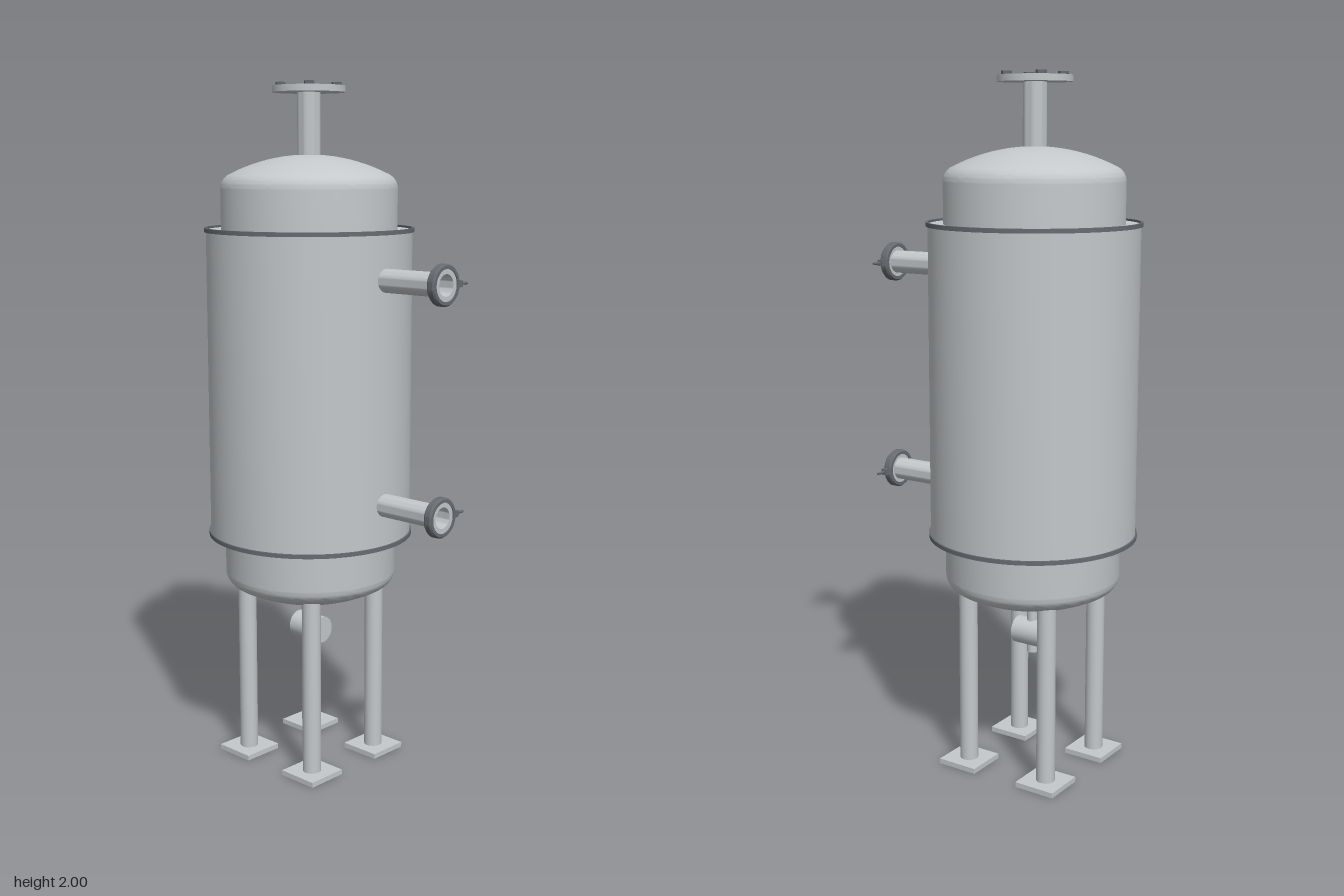
import * as THREE from 'three';
import { toCreasedNormals } from 'three/addons/utils/BufferGeometryUtils.js';

const steel = new THREE.MeshStandardMaterial({ color: 0xc4c8cb });
steel.name = 'brushed steel';
const dark = new THREE.MeshStandardMaterial({ color: 0x686c71 });
dark.name = 'dark steel';

function add(parent, name, geometry, material, x = 0, y = 0, z = 0) {
  const mesh = new THREE.Mesh(geometry, material);
  mesh.name = name;
  mesh.position.set(x, y, z);
  parent.add(mesh);
  return mesh;
}

// Revolved profile of [radius, height] pairs, listed with the outside running upwards
function lathe(points, segments = 48) {
  const profile = points.map(([r, y]) => new THREE.Vector2(r, y));
  return toCreasedNormals(new THREE.LatheGeometry(profile, segments), 0.6);
}

// Closed ring of rectangular section
function ring(inner, outer, y0, y1, segments = 48) {
  return lathe([[inner, y0], [outer, y0], [outer, y1], [inner, y1], [inner, y0]], segments);
}

// Dished head: a tight knuckle followed by a shallow crown, ending on the axis
function dishedHead(radius, knuckle, crown) {
  const c = radius - knuckle;
  const angle = Math.asin(c / (crown - knuckle));
  const drop = (crown - knuckle) * Math.cos(angle);
  const points = [];
  for (let i = 0; i <= 8; i++) {
    const t = (Math.PI / 2 - angle) * i / 8;
    points.push([c + knuckle * Math.cos(t), knuckle * Math.sin(t)]);
  }
  for (let i = 1; i <= 10; i++) {
    const t = angle * (1 - i / 10);
    points.push([crown * Math.sin(t), crown * Math.cos(t) - drop]);
  }
  return points;
}

// Side nozzle, built along y and turned to point along +x
function makeNozzle(name, y) {
  const nozzle = new THREE.Group();
  nozzle.name = name;
  nozzle.position.y = y;
  nozzle.rotation.z = -Math.PI / 2;
  add(nozzle, 'nozzlePipe', ring(0.030, 0.033, 0.28, 0.49), steel);
  add(nozzle, 'ferrule', ring(0.030, 0.046, 0.486, 0.506), steel);
  add(nozzle, 'clampBand', lathe([
    [0.044, 0.483], [0.053, 0.483], [0.057, 0.488], [0.057, 0.504],
    [0.053, 0.509], [0.044, 0.509], [0.044, 0.483],
  ]), dark);
  add(nozzle, 'clampLug', new THREE.BoxGeometry(0.018, 0.018, 0.022), dark, 0, 0.496, -0.061);
  const screw = add(nozzle, 'clampScrew', new THREE.CylinderGeometry(0.004, 0.004, 0.045, 12), dark, 0, 0.496, -0.078);
  screw.rotation.x = Math.PI / 2;
  return nozzle;
}

export function createModel() {
  const model = new THREE.Group();
  model.name = 'jacketedVessel';
  const vessel = new THREE.Group();
  vessel.name = 'vessel';
  vessel.position.x = -0.105;
  model.add(vessel);

  // Inner tank with a dished head at each end
  const head = dishedHead(0.253, 0.045, 0.5);
  const top = head.map(([r, y]) => [r, 1.705 + y]);
  const bottom = head.map(([r, y]) => [r, 0.583 - y]).reverse();
  add(vessel, 'tank', lathe([...bottom, ...top], 80), steel);

  // Jacket with a dark rim around both ends
  add(vessel, 'jacket', ring(0.25, 0.296, 0.702, 1.59, 80), steel);
  for (const [name, y] of [['lowerRim', 0.695], ['upperRim', 1.584]]) {
    add(vessel, name, ring(0.294, 0.301, y, y + 0.012, 80), dark);
  }

  // Top inlet pipe, flange and hex bolts
  add(vessel, 'inletPipe', ring(0.030, 0.033, 1.78, 1.985), steel);
  add(vessel, 'inletFlange', ring(0.031, 0.104, 1.972, 1.99), steel);
  for (const sx of [-1, 1]) for (const sz of [-1, 1]) {
    const bolt = new THREE.CylinderGeometry(0.015, 0.015, 0.012, 6).toNonIndexed();
    bolt.computeVertexNormals();
    add(vessel, 'flangeBolt', bolt, dark, sx * 0.056, 1.994, sz * 0.056);
  }

  // Legs on square foot plates
  for (const sx of [-1, 1]) for (const sz of [-1, 1]) {
    add(vessel, 'leg', new THREE.CylinderGeometry(0.027, 0.027, 0.55, 24), steel, sx * 0.135, 0.285, sz * 0.135);
    add(vessel, 'footPlate', new THREE.BoxGeometry(0.125, 0.015, 0.125), steel, sx * 0.135, 0.0075, sz * 0.135);
  }

  // Drain pipe and valve body
  add(vessel, 'drainPipe', new THREE.CylinderGeometry(0.016, 0.016, 0.165, 24), steel, 0, 0.4175, 0);
  const valve = add(vessel, 'drainValve', new THREE.CylinderGeometry(0.04, 0.04, 0.1, 32), steel, 0, 0.395, 0);
  valve.rotation.z = Math.PI / 2;

  // Jacket nozzles
  vessel.add(makeNozzle('upperNozzle', 1.46), makeNozzle('lowerNozzle', 0.825));

  return model;
}
